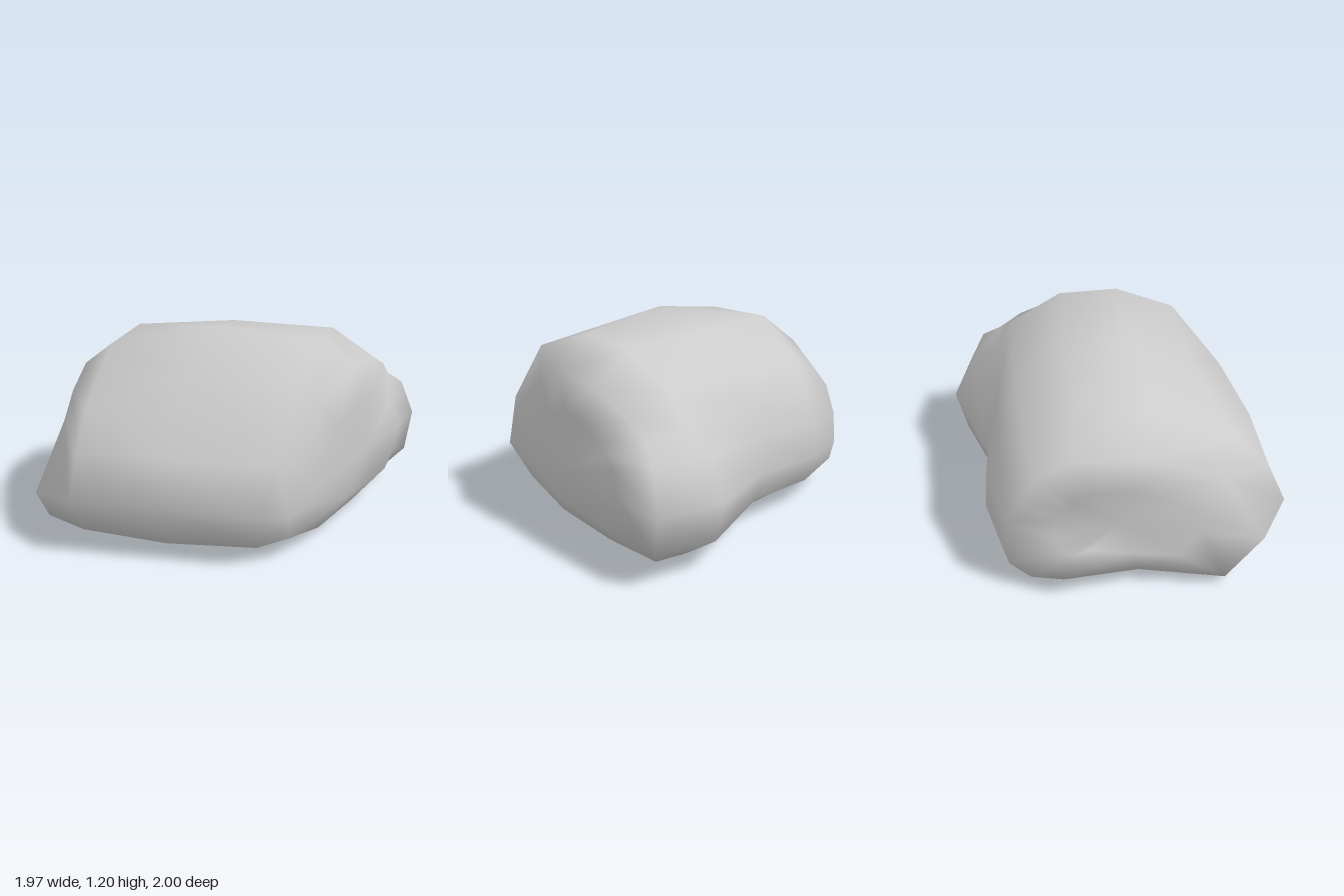
import * as THREE from 'three';

// Cross-sections run front -> top -> back -> underside as [z, y] pairs.
const leftOutline = [[.84, .3], [.6, .68], [.36, .79], [.08, .88], [-.27, .88], [-.45, .75],
  [-.54, .64], [-.63, .48], [-.66, .3], [-.62, .17], [-.5, .1], [-.31, .14], [.12, .1], [.62, .06]];
const leftX = [-.87, -.79, -.85, -.9, -.9, -.88, -.91, -.88, -.86, -.87, -.91, -.99, -.87, -.91];

const shoulder = [[1, .35], [.89, .6], [.7, .8], [.2, 1.06], [-.22, 1.08], [-.52, .9],
  [-.66, .73], [-.75, .53], [-.76, .32], [-.7, .15], [-.55, .06], [-.1, .04], [.42, .02], [.89, .14]];
const shoulderX = [-.57, -.57, -.6, -.66, -.66, -.6, -.55, -.52, -.52, -.52, -.55, -.55, -.55, -.54];

const middle = [[.93, .36], [.85, .62], [.47, 1.01], [.1, 1.2], [-.3, 1.14], [-.58, .95],
  [-.69, .77], [-.74, .58], [-.75, .35], [-.7, .17], [-.55, .05], [-.1, .02], [.42, 0], [.82, .1]];

const lobe = [[.83, .33], [.74, .62], [.42, 1.03], [.06, 1.17], [-.3, 1.15], [-.62, .96],
  [-.72, .78], [-.88, .68], [-1, .44], [-.93, .19], [-.7, .03], [-.1, .03], [.38, .02], [.7, .1]];
const lobeX = [.52, .58, .62, .6, .59, .57, .55, .55, .56, .55, .54, .5, .43, .45];

const rightOutline = [[.73, .33], [.62, .6], [.35, .86], [.02, 1.01], [-.3, .99], [-.56, .88],
  [-.7, .78], [-.82, .69], [-.92, .46], [-.86, .22], [-.68, .05], [-.3, .05], [.2, .05], [.58, .13]];
const rightX = [.65, .66, .7, .82, .85, .85, .85, .92, .98, .95, .76, .75, .67, .6];

const place = (outline, x) => outline.map(([z, y], j) =>
  [Array.isArray(x) ? x[j] : x, y, z]);

// Shrinks an end outline about a centre and lays it on the end face.
const inset = (outline, zc, yc, scale, faceX) => outline.map(([z, y]) => {
  const pz = zc + (z - zc) * scale, py = yc + (y - yc) * scale;
  return [faceX(py, pz), py, pz];
});

function skin(rings, startPoint, endPoint) {
  const n = rings[0].length, points = rings.flat(), index = [];
  const start = points.push(startPoint) - 1, end = points.push(endPoint) - 1;
  for (let j = 0; j < n; j++) {
    const k = (j + 1) % n, last = (rings.length - 1) * n;
    for (let i = 0; i < rings.length - 1; i++) {
      const a = i * n + j, b = i * n + k;
      index.push(a, a + n, b, b, a + n, b + n);
    }
    index.push(start, j, k, last + j, end, last + k);
  }
  const geometry = new THREE.BufferGeometry();
  geometry.setAttribute('position', new THREE.Float32BufferAttribute(points.flat(), 3));
  geometry.setIndex(index);
  geometry.computeVertexNormals();
  return geometry;
}

export function createModel() {
  const group = new THREE.Group();
  group.name = 'rock';

  // The left end is slightly hollow; the right end bends back towards the front.
  const hollowX = (y) => -.85 - .25 * Math.abs(y - .45);
  const slantX = (y, z) => .87 - (z > 0 ? .38 : .16) * z - .12 * Math.abs(y - .45);

  const rings = [
    inset(leftOutline, .02, .42, .55, hollowX),
    place(leftOutline, leftX),
    place(shoulder, shoulderX),
    place(middle, -.05),
    place(lobe, lobeX),
    place(rightOutline, rightX),
    inset(rightOutline, -.1, .48, .6, slantX),
  ];
  const boulder = new THREE.Mesh(
    skin(rings, [-.85, .42, .02], [.88, .48, -.1]),
    new THREE.MeshStandardMaterial({ color: 0xcccccc, roughness: .9 }));
  boulder.name = 'boulder';
  group.add(boulder);
  return group;
}
